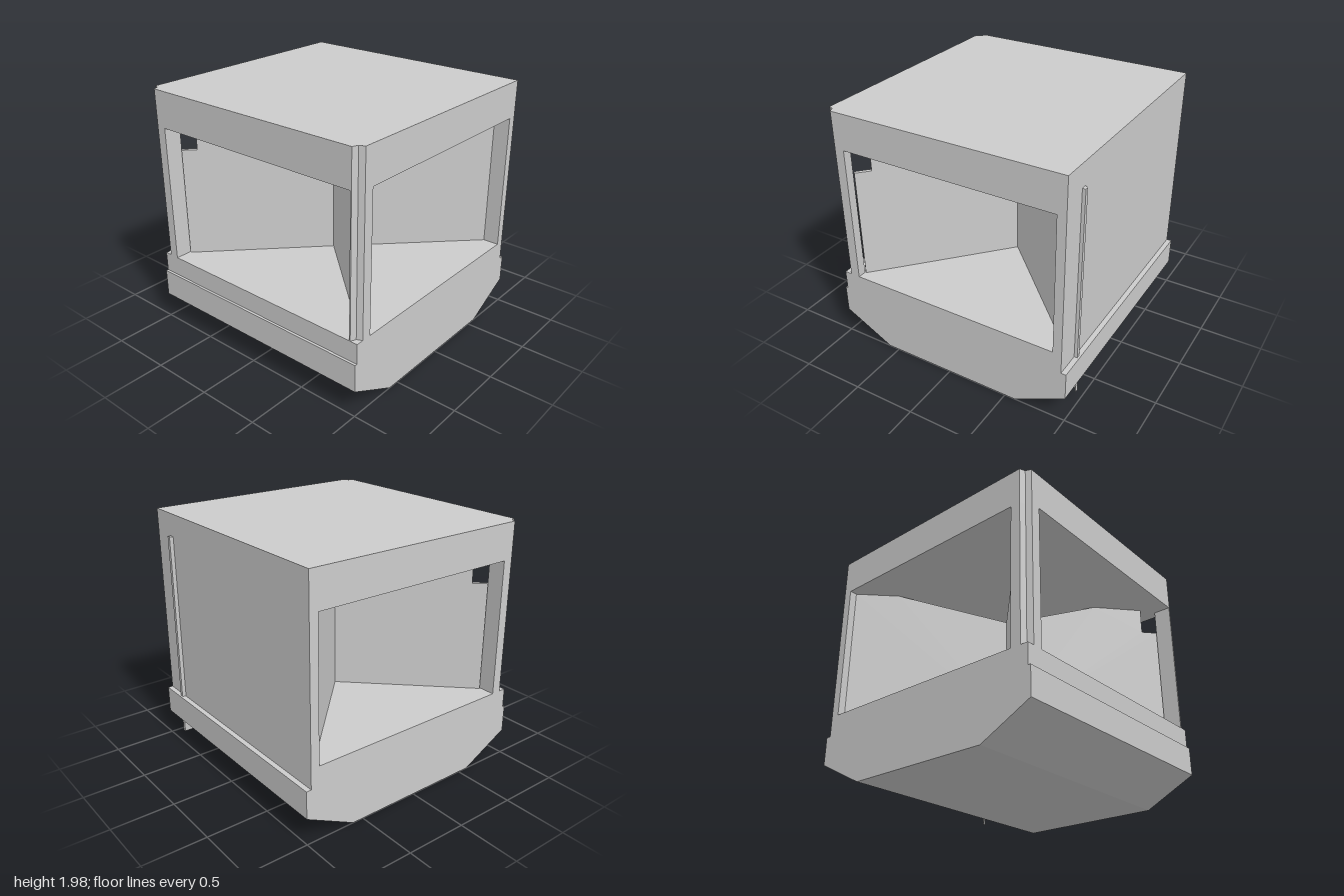
import * as THREE from 'three';
import { ConvexGeometry } from 'three/addons/geometries/ConvexGeometry.js';

const material = new THREE.MeshStandardMaterial({ color: 0xcccccc, flatShading: true, side: THREE.DoubleSide });

function add(group, name, geometry) {
  const mesh = new THREE.Mesh(geometry, material);
  mesh.name = name;
  group.add(mesh);
  return mesh;
}

const toShape = (points) => new THREE.Shape(points.map(([a, b]) => new THREE.Vector2(a, b)));

const extrude = (points, depth) =>
  new THREE.ExtrudeGeometry(toShape(points), { depth, bevelEnabled: false });

// Vertical prism from a plan outline given as [x, z]
function prism(plan, y0, y1) {
  const g = extrude(plan.map(([x, z]) => [x, -z]), y1 - y0);
  return g.rotateX(-Math.PI / 2).translate(0, y0, 0);
}

// Thin upright panel running from a to b ([x, z]); profile is [fraction along, y]
function panel(a, b, profile, thickness) {
  const dx = b[0] - a[0], dz = b[1] - a[1];
  const length = Math.hypot(dx, dz);
  const g = extrude(profile.map(([t, y]) => [t * length, y]), thickness);
  return g.translate(0, 0, -thickness / 2).rotateY(Math.atan2(-dz, dx)).translate(a[0], 0, a[1]);
}

export function createModel() {
  const model = new THREE.Group();
  model.name = 'cabin';
  const floor = 0.59, ceiling = 1.69, top = 1.98, wallTop = 1.48;

  // Base with sloping underside
  const hull = [[-0.59, 0], [0.59, 0], [1, 0.21], [1, 0.43], [-1, 0.43], [-1, 0.21]];
  add(model, 'base', extrude(hull, 2).translate(0, 0, -1));

  // Floor slab
  add(model, 'floor', prism([[-0.98, -1], [0.96, -1], [0.96, 1], [-0.98, 1]], 0.43, floor));

  // Roof slab with hollowed corners on one side
  const cove = (s) => [[-0.98, 0.94 * s], [-0.938, 0.958 * s], [-0.92, s]];
  add(model, 'roof', prism(
    [[0.96, -1], [0.96, 1], ...cove(1).reverse(), ...cove(-1)], ceiling, top));

  // Solid side wall
  add(model, 'sideWall', prism([[0.89, -1], [0.96, -1], [0.96, 1], [0.89, 1]], floor, ceiling));

  // Corner pillars, the rear one deeper
  for (const [name, s, inner] of [['frontPillar', 1, 0.93], ['rearPillar', -1, -0.86]]) {
    add(model, name, prism(
      [...cove(s), [-0.84, s], [-0.84, inner], [-0.98, inner]], floor, ceiling));
  }

  // Diagonal partitions meeting in the middle, with a V-shaped gap over the centre
  const openSide = [[0, floor], [1, floor], [1, wallTop], [0.9, wallTop],
    [0.9, ceiling], [0.58, ceiling], [0, wallTop]];
  const closedSide = [[0, floor], [1, floor], [1, ceiling], [0.72, ceiling], [0, wallTop]];
  const centre = [0.01, -0.03];
  const partitions = [
    ['frontOpenPartition', [-0.84, 0.92], openSide],
    ['rearOpenPartition', [-0.84, -0.86], openSide],
    ['frontClosedPartition', [0.9, 0.86], closedSide],
    ['rearClosedPartition', [0.9, -0.93], closedSide],
  ];
  for (const [name, end, profile] of partitions) {
    add(model, name, panel(centre, end, profile, 0.03));
  }

  // Slim rod on the outside of the solid wall
  add(model, 'sideRod', prism(
    [[0.955, 0.8], [0.985, 0.8], [0.985, 0.77], [0.955, 0.755]], 0.43, 1.8));

  // Pointed foot below the rod
  const foot = [[0.985, 0.1, 0.8], [0.985, 0.21, 0.8], [0.985, 0.1, 0.77], [0.985, 0.21, 0.77],
    [0.88, 0.155, 0.68]];
  add(model, 'rodFoot', new ConvexGeometry(foot.map((p) => new THREE.Vector3(...p))));

  return model;
}
